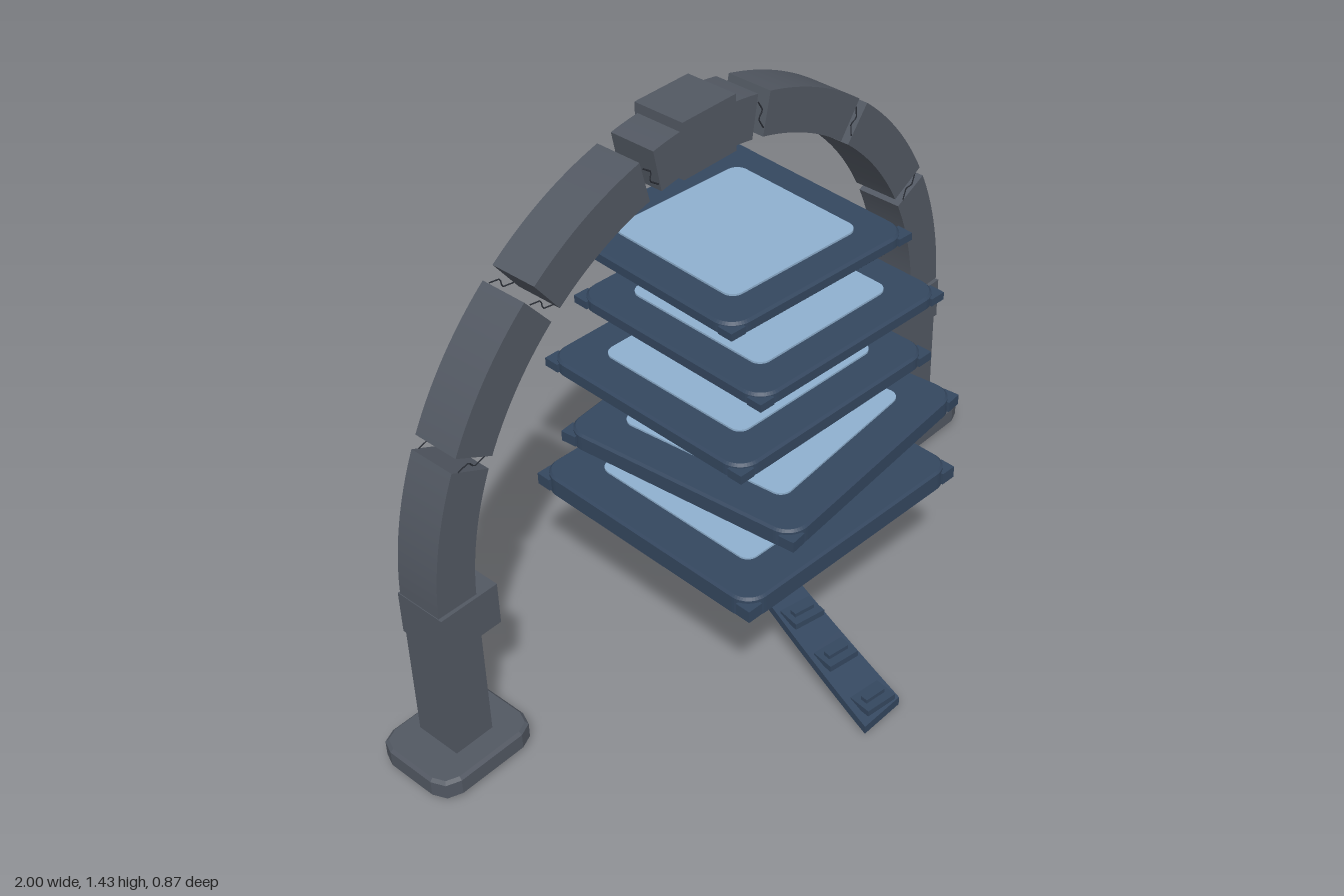
import * as THREE from 'three';
import { toCreasedNormals } from 'three/addons/utils/BufferGeometryUtils.js';

const mat = (color) => new THREE.MeshStandardMaterial({ color });
const stone = mat(0x525862), slate = mat(0x34475f), glass = mat(0x8fb0cf), dark = mat(0x2b2f37);
const ARCH_Z = -0.265, SPRING_Y = 0.5, R_OUT = 0.91, R_IN = 0.797;

function add(parent, name, geometry, material, x = 0, y = 0, z = 0) {
  const mesh = new THREE.Mesh(geometry, material);
  mesh.name = name;
  mesh.position.set(x, y, z);
  parent.add(mesh);
  return mesh;
}

const box = (w, h, d) => new THREE.BoxGeometry(w, h, d);

// Rectangle with rounded (or, with one segment, chamfered) corners
function cornerShape(w, d, r) {
  const s = new THREE.Shape(), x = w / 2 - r, y = d / 2 - r;
  [[x, y], [-x, y], [-x, -y], [x, -y]].forEach(([cx, cy], i) =>
    s.absarc(cx, cy, r, i * Math.PI / 2, (i + 1) * Math.PI / 2, false));
  return s;
}

// Horizontal slab standing on y = 0, with a small bevel
function slab(w, h, d, r, bevel, curveSegments = 6) {
  const g = new THREE.ExtrudeGeometry(cornerShape(w - 2 * bevel, d - 2 * bevel, r), {
    depth: h - 2 * bevel, curveSegments, bevelEnabled: bevel > 0,
    bevelSize: bevel, bevelThickness: bevel, bevelSegments: 1,
  });
  return g.translate(0, 0, bevel).rotateX(-Math.PI / 2);
}

// Curved arch stone between two angles in degrees
function voussoir(from, to) {
  const a = THREE.MathUtils.degToRad(from), b = THREE.MathUtils.degToRad(to);
  const s = new THREE.Shape();
  s.absarc(0, 0, R_OUT, a, b, false);
  s.absarc(0, 0, R_IN, b, a, true);
  const g = new THREE.ExtrudeGeometry(s, { depth: 0.13, curveSegments: 10, bevelEnabled: false });
  return toCreasedNormals(g.translate(0, 0, -0.065), 0.5);
}

function buildArch() {
  const arch = new THREE.Group();
  arch.name = 'arch';
  for (const side of [-1, 1]) {
    const label = side > 0 ? 'left' : 'right';
    add(arch, label + 'Foot', slab(0.295, 0.058, 0.245, 0.045, 0.008, 1), stone, side * 0.852, 0.018, ARCH_Z);
    add(arch, label + 'Pillar', box(0.113, 0.315, 0.13), stone, side * 0.853, 0.245, ARCH_Z);
    add(arch, label + 'Impost', box(0.168, 0.118, 0.147), stone, side * 0.826, 0.457, ARCH_Z);
  }
  const spans = [[1.2, 25], [27.2, 50.5], [53, 76.2], [79, 101],
    [103.8, 127], [129.5, 152.8], [155, 178.8]];
  spans.forEach(([a, b]) => add(arch, 'archStone', voussoir(a, b), stone, 0, SPRING_Y, ARCH_Z));
  add(arch, 'keystone', box(0.176, 0.147, 0.147), stone, 0, 1.358, ARCH_Z);

  // Thin jagged cracks across the joints, front and back
  for (const deg of [26.1, 51.8, 77.6, 102.4, 128.2, 153.9]) {
    const a = THREE.MathUtils.degToRad(deg);
    const pts = [[0.82, -0.02], [0.845, 0.008], [0.865, -0.006], [0.89, 0.02]].map(([r, o]) =>
      new THREE.Vector3(r * Math.cos(a + o), r * Math.sin(a + o), 0));
    const path = new THREE.CurvePath();
    for (let i = 0; i < 3; i++) path.add(new THREE.LineCurve3(pts[i], pts[i + 1]));
    for (const s of [-1, 1])
      add(arch, 'crack', new THREE.TubeGeometry(path, 9, 0.002, 4), dark, 0, SPRING_Y, ARCH_Z + s * 0.064);
  }
  return arch;
}

// Floating plate with inset panel, corner lugs and a pad underneath
function buildPlatform(size, thick, x, y, z, turn) {
  const p = new THREE.Group();
  p.name = 'platform';
  p.position.set(x, y, z);
  p.rotation.y = turn;
  add(p, 'plate', slab(size, thick, size, 0.05, 0.006), slate);
  add(p, 'panel', slab(size * 0.71, 0.008, size * 0.71, 0.03, 0), glass, 0, thick - 0.003, 0);
  add(p, 'underPad', box(0.14, 0.022, 0.14), slate, 0, 0, -0.05);
  const c = size / 2 - 0.017;
  for (const sx of [-1, 1]) for (const sz of [-1, 1])
    add(p, 'cornerLug', box(0.042, thick * 0.55, 0.042), slate, sx * c, thick / 2, sz * c);
  return p;
}

// Ramp centre line: t = 0 at the low front end, 1 at the disc
const rampX = (t) => -0.1 + 0.045 * t + 0.028 * t * t;
const rampY = (t) => 0.005 + 0.15 * t - 0.033 * t * t;
const rampZ = (t) => 0.437 - 0.382 * t;

function buildRamp() {
  const ramp = new THREE.Group();
  ramp.name = 'ramp';
  const g = new THREE.BoxGeometry(1, 1, 1, 1, 1, 16), v = g.attributes.position;
  for (let i = 0; i < v.count; i++) {
    const t = 0.5 - v.getZ(i);
    v.setXYZ(i, rampX(t) + v.getX(i) * (0.133 - 0.02 * t),
      rampY(t) + (v.getY(i) + 0.5) * 0.024, rampZ(t));
  }
  g.computeVertexNormals();
  add(ramp, 'rampDeck', g, slate);
  // Treads with a raised cleat on each
  for (const t of [0.09, 0.445, 0.795]) {
    const step = new THREE.Group();
    step.name = 'step';
    step.position.set(rampX(t), rampY(t) + 0.032, rampZ(t));
    step.rotation.y = -0.12 - 0.1 * t;
    add(step, 'tread', box(0.09, 0.017, 0.064), slate);
    add(step, 'cleat', box(0.06, 0.036, 0.02), slate, 0, 0.002, 0);
    ramp.add(step);
  }
  return ramp;
}

export function createModel() {
  const model = new THREE.Group();
  model.name = 'archWithPlatforms';
  model.add(buildArch());
  // size, thickness, x, bottom y, z, turn
  [[0.715, 0.059, -0.042, 0.449, -0.055, -0.045],
    [0.675, 0.051, -0.011, 0.627, -0.029, 0.08],
    [0.635, 0.041, -0.048, 0.807, -0.07, -0.043],
    [0.595, 0.036, -0.014, 0.983, -0.034, -0.055],
    [0.555, 0.034, -0.056, 1.157, -0.068, -0.073],
  ].forEach((p) => model.add(buildPlatform(...p)));
  model.add(buildRamp());
  // Flat oval landing at the head of the ramp
  const disc = add(model, 'landingDisc', new THREE.CylinderGeometry(0.131, 0.131, 0.011, 32), stone, -0.035, 0.151, -0.047);
  disc.scale.z = 0.74;
  return model;
}
